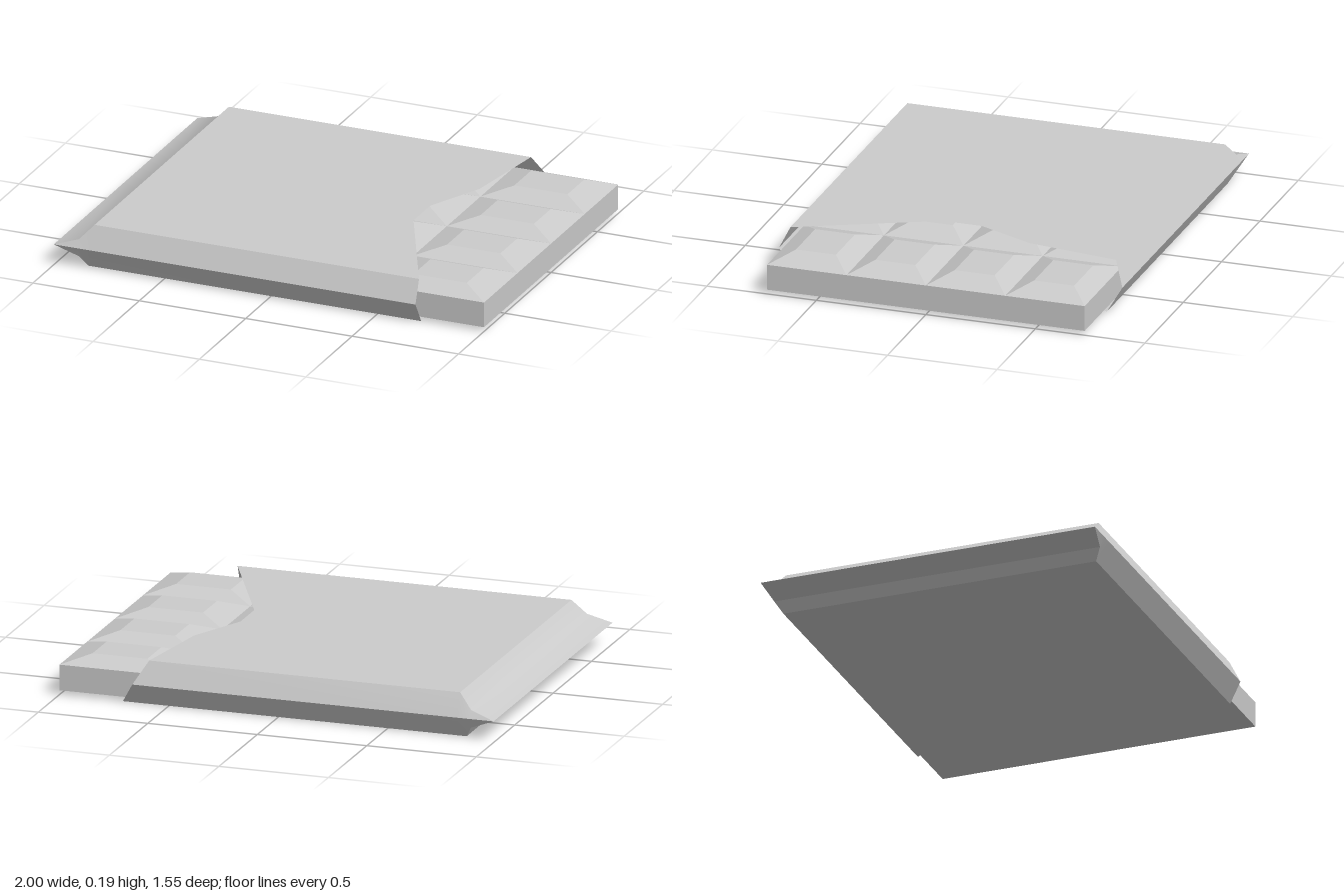
import * as THREE from 'three';
import { toCreasedNormals } from 'three/addons/utils/BufferGeometryUtils.js';

const grey = new THREE.MeshStandardMaterial({ color: 0xcccccc });
const thin = new THREE.MeshStandardMaterial({ color: 0xcccccc, side: THREE.DoubleSide });

function addMesh(parent, name, geometry, material = grey) {
  const mesh = new THREE.Mesh(geometry, material);
  mesh.name = name;
  parent.add(mesh);
  return mesh;
}

// Tapered block: a box whose top corners are pulled inward
function tileGeometry(length, height, width, insetX, insetZ) {
  const geometry = new THREE.BoxGeometry(length, height, width);
  const p = geometry.attributes.position;
  for (let i = 0; i < p.count; i++) {
    if (p.getY(i) < 0) continue;
    p.setX(i, p.getX(i) - Math.sign(p.getX(i)) * insetX);
    p.setZ(i, p.getZ(i) - Math.sign(p.getZ(i)) * insetZ);
  }
  geometry.computeVertexNormals();
  return geometry;
}

// Sleeve lofted along x, pinched flat at one end and torn open at the other
function wrapperGeometry() {
  const half = 0.725, middle = 0.095;
  // Ring points: side of the sleeve (1 top, 0 edge, -1 bottom), z, x of the torn edge
  const ring = [
    [1, 0.725, 0.695], [1, 0.13, 0.41], [1, -0.05, 0.41], [1, -0.31, 0.53], [1, -0.725, 0.59],
    [0, -0.775, 0.65],
    [-1, -0.725, 0.71], [-1, -0.49, 0.56], [-1, 0.16, 0.46], [-1, 0.45, 0.63], [-1, 0.725, 0.705],
    [0, 0.775, 0.70],
  ];
  // Stations: x above, x below, half width at the corners, top y, bottom y
  const stations = [
    [-1, -1, 0.775, middle, middle],
    [-0.89, -0.89, 0.755, 0.13, 0.05],
    [-0.83, -0.86, half, 0.195, 0],
    [null, null, half, 0.195, 0],
  ];
  const positions = [], index = [], n = ring.length;
  stations.forEach(([xTop, xBottom, corner, top, bottom], i) => {
    ring.forEach(([side, z, tear], j) => {
      const x = xTop === null ? tear : side < 0 ? xBottom : xTop;
      const y = side > 0 ? top : side < 0 ? bottom : middle;
      positions.push(x, y, side === 0 ? z : z * corner / half);
      if (i === stations.length - 1) return;
      const a = i * n + j, b = i * n + (j + 1) % n;
      index.push(a, a + n, b, b, a + n, b + n);
    });
  });
  const geometry = new THREE.BufferGeometry();
  geometry.setAttribute('position', new THREE.Float32BufferAttribute(positions, 3));
  geometry.setIndex(index);
  return toCreasedNormals(geometry, 0.6);
}

export function createModel() {
  const model = new THREE.Group();
  model.name = 'wrappedBar';

  addMesh(model, 'wrapper', wrapperGeometry(), thin);

  const bar = new THREE.Group();
  bar.name = 'bar';
  model.add(bar);

  // Slab under the tiles
  const pitchX = 0.49, pitchZ = 0.3625, columns = 3, rows = 4;
  const length = pitchX * columns;
  addMesh(bar, 'slab', new THREE.BoxGeometry(length, 0.115, pitchZ * rows))
    .position.set(1 - length / 2, 0.0775, 0);

  // Grid of raised tiles
  const tile = tileGeometry(pitchX, 0.038, pitchZ, 0.12, 0.09);
  for (let c = 0; c < columns; c++) {
    for (let r = 0; r < rows; r++) {
      addMesh(bar, 'tile', tile)
        .position.set(1 - pitchX * (c + 0.5), 0.154, pitchZ * (r - (rows - 1) / 2));
    }
  }
  return model;
}
